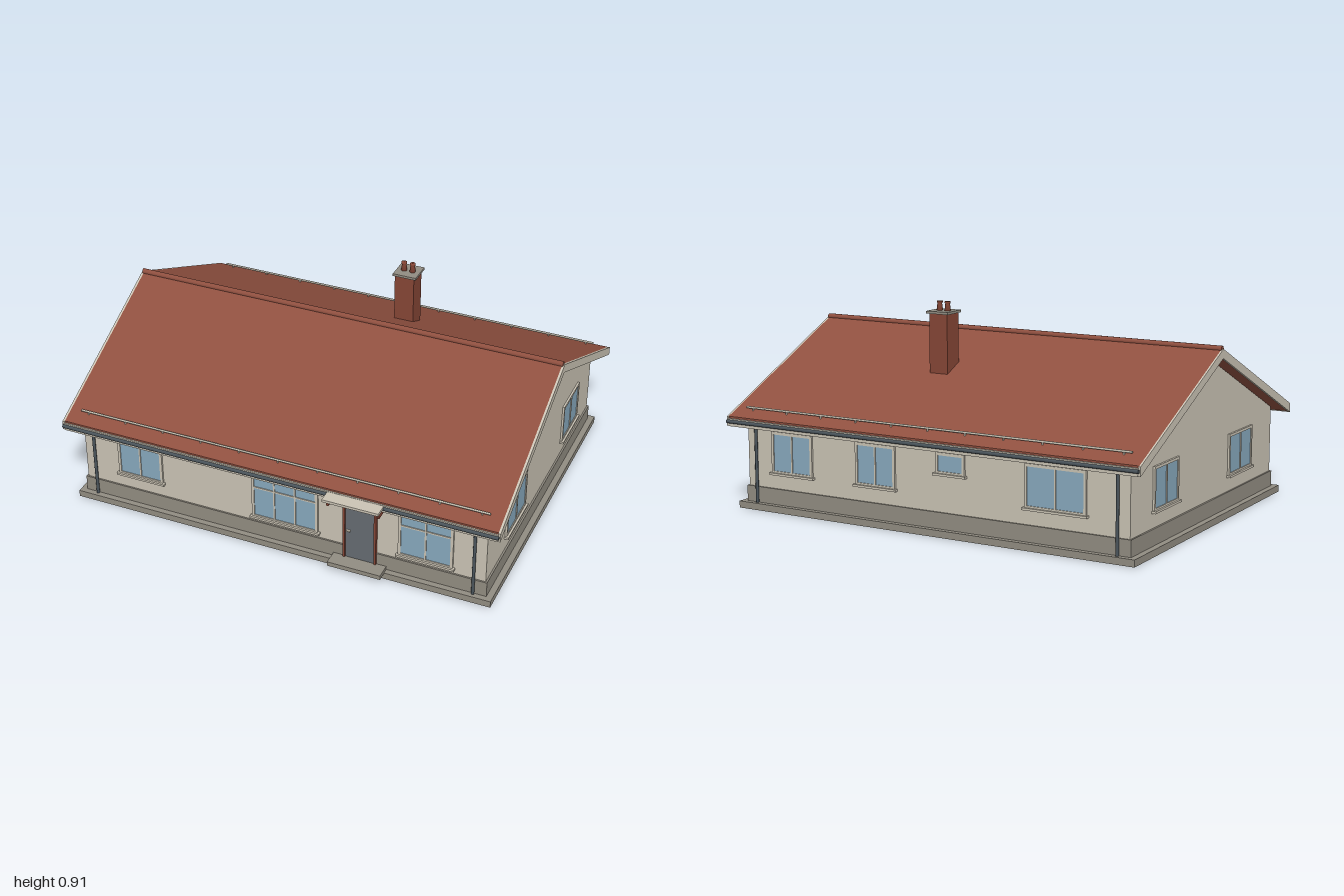
import * as THREE from 'three';

const mat = (name, color, side = THREE.FrontSide) => {
  const m = new THREE.MeshStandardMaterial({ color, side });
  m.name = name;
  return m;
};

export function createModel() {
  const house = new THREE.Group();
  house.name = 'bungalow';
  const cream = mat('cream render', 0xcbc4b5);
  const stone = mat('grey stone', 0x928d82);
  const tile = mat('roof tile', 0x905040);
  const brick = mat('brick red', 0x864636);
  const glass = mat('window glass', 0x88a9be);
  const slate = mat('door slate', 0x666c72);
  const gutterGrey = mat('gutter grey', 0x4a545b);

  const add = (parent, name, geo, material, x = 0, y = 0, z = 0) => {
    const m = new THREE.Mesh(geo, material);
    m.name = name;
    m.position.set(x, y, z);
    parent.add(m);
    return m;
  };
  // Box given by its limits on each axis
  const box = (parent, name, material, x0, x1, y0, y1, z0, z1) =>
    add(parent, name, new THREE.BoxGeometry(x1 - x0, y1 - y0, z1 - z0), material,
      (x0 + x1) / 2, (y0 + y1) / 2, (z0 + z1) / 2);
  // Outline of [z, y] points extruded along x
  const extrudeX = (name, material, pts, x0, x1) => {
    const shape = new THREE.Shape(pts.map(([z, y]) => new THREE.Vector2(-z, y)));
    const geo = new THREE.ExtrudeGeometry(shape, { depth: x1 - x0, bevelEnabled: false });
    geo.rotateY(Math.PI / 2);
    return add(house, name, geo, material, x0);
  };
  // Rod lying along x
  const rodX = (name, material, r, len, y, z, sides = 8) => {
    const geo = new THREE.CylinderGeometry(r, r, len, sides).rotateZ(Math.PI / 2);
    return add(house, name, geo, material, 0, y, z);
  };

  const mid = -0.023, slope = 0.46, ridgeY = 0.758, half = 0.762, thick = 0.04;
  const roofY = (z) => ridgeY - slope * Math.abs(z - mid);
  const wallX = 0.93, wallF = 0.68, wallB = -0.726;

  // Base slab, plinth and gabled walls
  box(house, 'baseSlab', stone, -0.965, 0.965, 0, 0.03, -0.757, 0.713);
  box(house, 'plinth', stone, -0.938, 0.938, 0.03, 0.1, wallB - 0.007, wallF + 0.007);
  extrudeX('walls', cream, [
    [wallF, 0.1], [wallF, roofY(wallF) - thick], [mid, ridgeY - thick],
    [wallB, roofY(wallB) - thick], [wallB, 0.1],
  ], -wallX, wallX);

  // Roof, bargeboards and ridge
  const chevron = (h, top, bottom) => [
    [mid + h, ridgeY - slope * h + top], [mid, ridgeY + top], [mid - h, ridgeY - slope * h + top],
    [mid - h, ridgeY - slope * h - bottom], [mid, ridgeY - bottom], [mid + h, ridgeY - slope * h - bottom],
  ];
  extrudeX('roof', tile, chevron(half - 0.004, 0, thick - 0.002), -0.992, 0.992);
  for (const s of [-1, 1]) {
    extrudeX('bargeboard', cream, chevron(half, 0, thick), s > 0 ? 0.99 : -1, s > 0 ? 1 : -0.99);
  }
  rodX('ridgeTiles', tile, 0.013, 1.99, ridgeY, mid, 10);

  // Eaves: fascia, gutter, snow rail and downpipes on both long sides
  for (const s of [-1, 1]) {
    const edge = mid + s * half, wall = s > 0 ? wallF : wallB;
    const y = roofY(edge);
    box(house, 'fascia', cream, -0.99, 0.99, y - thick, y - 0.006, edge - 0.004, edge + 0.003);
    rodX('gutter', gutterGrey, 0.008, 1.99, y - 0.019, edge + s * 0.006);
    const railZ = mid + s * 0.703;
    rodX('snowRail', cream, 0.005, 1.87, roofY(railZ) + 0.012, railZ, 6);
    for (let i = 0; i <= 10; i++) {
      const x = -0.9 + i * 0.18;
      box(house, 'railBracket', cream, x - 0.003, x + 0.003,
        roofY(railZ) - 0.004, roofY(railZ) + 0.012, railZ - 0.003, railZ + 0.003);
    }
    for (const x of [-0.88, 0.88]) {
      const path = new THREE.CurvePath();
      const p = [[0.03, wall + s * 0.012], [0.378, wall + s * 0.012], [0.384, edge]]
        .map(([py, pz]) => new THREE.Vector3(x, py, pz));
      path.add(new THREE.LineCurve3(p[0], p[1]));
      path.add(new THREE.LineCurve3(p[1], p[2]));
      for (const c of path.curves) {
        add(house, 'downpipe', new THREE.TubeGeometry(c, 1, 0.007, 8), gutterGrey);
      }
    }
  }

  // Window facing local +z: frame with openings, glass and sill
  const makeWindow = (parent, x0, x1, y0, y1, cols, transom) => {
    const g = new THREE.Group();
    g.name = 'window';
    parent.add(g);
    const rect = (T, a, b, c, d) => new T([[a, c], [b, c], [b, d], [a, d]].map((p) => new THREE.Vector2(...p)));
    const frame = rect(THREE.Shape, x0, x1, y0, y1);
    const m = 0.012, bar = 0.007, w = (x1 - x0 - 2 * m + bar) / cols;
    const rows = transom ? [[y0 + m, transom - bar / 2], [transom + bar / 2, y1 - m]] : [[y0 + m, y1 - m]];
    for (let i = 0; i < cols; i++) {
      const a = x0 + m + i * w;
      for (const [c, d] of rows) frame.holes.push(rect(THREE.Path, a, a + w - bar, c, d));
    }
    add(g, 'windowFrame', new THREE.ExtrudeGeometry(frame, { depth: 0.009, bevelEnabled: false }), cream);
    box(g, 'windowGlass', glass, x0 + 0.006, x1 - 0.006, y0 + 0.006, y1 - 0.006, 0.001, 0.005);
    box(g, 'windowSill', cream, x0 - 0.008, x1 + 0.008, y0 - 0.006, y0 + 0.004, 0, 0.018);
  };
  const facade = (name, x, z, turn) => {
    const g = new THREE.Group();
    g.name = name;
    g.position.set(x, 0, z);
    g.rotation.y = turn;
    house.add(g);
    return g;
  };

  const front = facade('frontWindows', 0, wallF, 0);
  makeWindow(front, -0.765, -0.55, 0.168, 0.353, 2);
  makeWindow(front, -0.123, 0.183, 0.125, 0.353, 3, 0.28);
  makeWindow(front, 0.545, 0.787, 0.125, 0.353, 2, 0.28);

  // Local x is mirrored on the back
  const back = facade('backWindows', 0, wallB, Math.PI);
  makeWindow(back, -0.8, -0.585, 0.168, 0.353, 2);
  makeWindow(back, -0.36, -0.16, 0.168, 0.353, 2);
  makeWindow(back, 0.04, 0.18, 0.262, 0.353, 1);
  makeWindow(back, 0.46, 0.74, 0.168, 0.353, 2);

  for (const s of [-1, 1]) {
    const side = facade(s > 0 ? 'leftWindows' : 'rightWindows', s * wallX, 0, s * Math.PI / 2);
    for (const [z0, z1] of [[0.204, 0.452], [-0.53, -0.303]]) {
      const [a, b] = s > 0 ? [-z1, -z0] : [z0, z1];
      makeWindow(side, a, b, 0.168, 0.352, 2);
    }
  }

  // Front door with frame, handle, step and canopy
  const z = wallF;
  box(house, 'door', slate, 0.31, 0.44, 0.046, 0.337, z, z + 0.01);
  box(house, 'doorFrame', brick, 0.3, 0.31, 0.046, 0.347, z, z + 0.016);
  box(house, 'doorFrame', brick, 0.44, 0.45, 0.046, 0.347, z, z + 0.016);
  box(house, 'doorFrame', brick, 0.31, 0.44, 0.337, 0.347, z, z + 0.016);
  box(house, 'doorHandle', cream, 0.316, 0.334, 0.184, 0.19, z + 0.01, z + 0.02);
  box(house, 'doorStep', stone, 0.255, 0.495, 0.026, 0.046, z, 0.757);
  box(house, 'canopy', cream, 0.252, 0.502, 0.388, 0.4, z, 0.802);
  for (const x of [0.265, 0.489]) {
    box(house, 'canopyBracket', brick, x - 0.005, x + 0.005, 0.352, 0.388, z, 0.772);
  }

  // Chimney with cap and two pots
  box(house, 'chimney', brick, 0.135, 0.225, 0.55, 0.862, -0.358, -0.266);
  box(house, 'chimneyCap', stone, 0.127, 0.235, 0.862, 0.873, -0.367, -0.26);
  const pot = [[0, 0], [0.014, 0], [0.01, 0.032], [0.013, 0.034], [0.013, 0.041], [0, 0.041]]
    .map((p) => new THREE.Vector2(...p));
  for (const x of [0.16, 0.2]) {
    add(house, 'chimneyPot', new THREE.LatheGeometry(pot, 12), brick, x, 0.872, -0.313);
  }
  return house;
}
